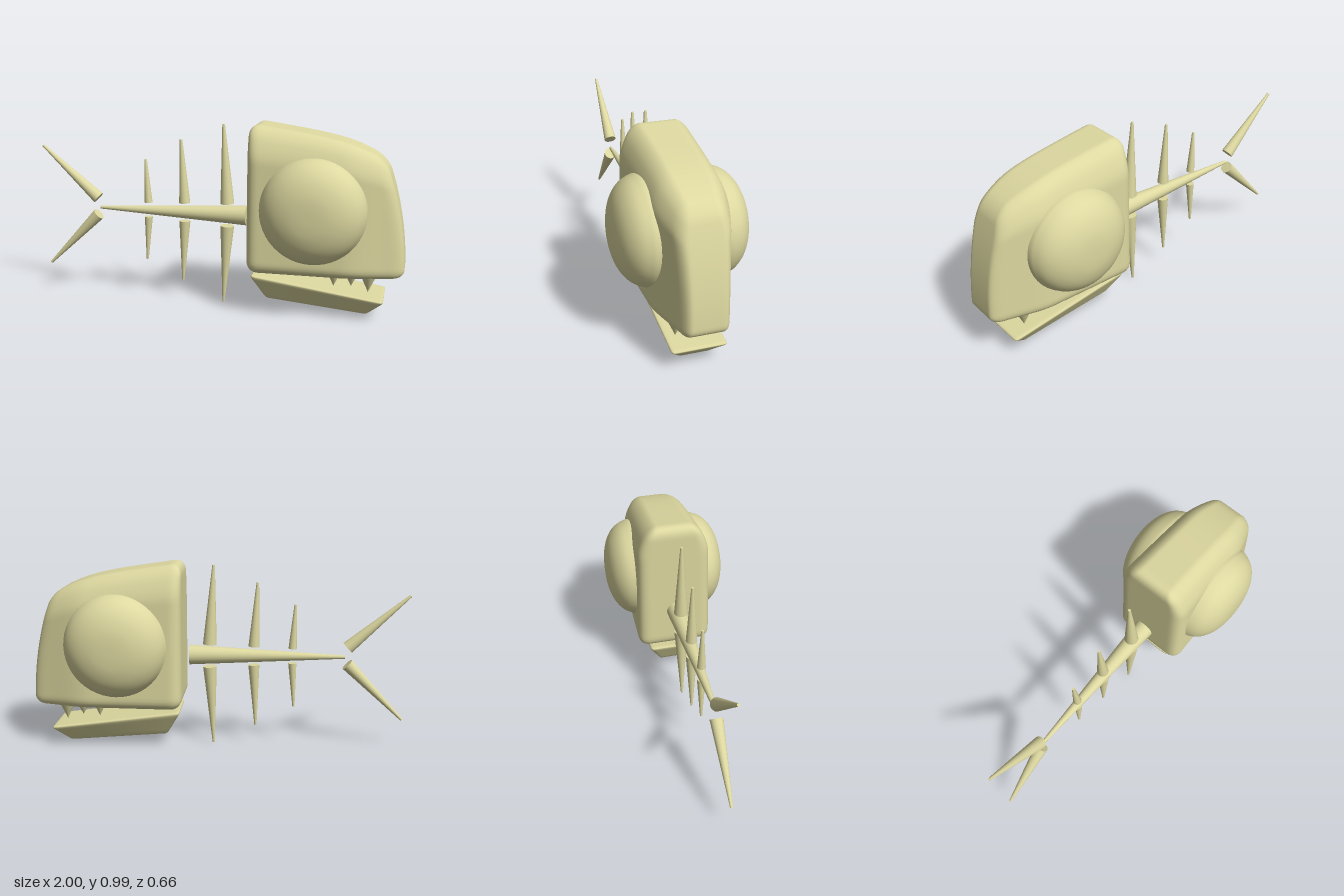
import * as THREE from 'three';
import { mergeVertices } from 'three/addons/utils/BufferGeometryUtils.js';

const bone = new THREE.MeshStandardMaterial({ color: 0xddd8a0 });

function add(group, name, geometry) {
  const mesh = new THREE.Mesh(geometry, bone);
  mesh.name = name;
  group.add(mesh);
  return mesh;
}

// Rounded box reshaped by a rule: warp(u, v, s) takes u, v in 0..1 and s in -1..1
function warpedBlock(size, radius, segments, warp) {
  let geo = new THREE.BoxGeometry(size.x, size.y, size.z, ...segments);
  geo.deleteAttribute('uv');
  geo.deleteAttribute('normal');
  geo = mergeVertices(geo);
  const inner = size.clone().multiplyScalar(0.5).subScalar(radius);
  const low = inner.clone().negate();
  const pos = geo.attributes.position;
  const p = new THREE.Vector3(), q = new THREE.Vector3();
  for (let i = 0; i < pos.count; i++) {
    p.fromBufferAttribute(pos, i);
    q.copy(p).clamp(low, inner);
    p.sub(q).setLength(p.length() > 0 ? radius : 0).add(q);
    pos.setXYZ(i, ...warp(p.x / size.x + 0.5, p.y / size.y + 0.5, (2 * p.z) / size.z));
  }
  geo.computeVertexNormals();
  return geo;
}

// Tapered bone between two points in the middle plane
function taperedBone(group, name, base, tip, baseRadius, tipRadius) {
  const a = new THREE.Vector3(...base, 0), b = new THREE.Vector3(...tip, 0);
  const dir = b.clone().sub(a);
  const mesh = add(group, name, new THREE.CylinderGeometry(tipRadius, baseRadius, dir.length(), 24));
  mesh.position.copy(a).add(b).multiplyScalar(0.5);
  mesh.quaternion.setFromUnitVectors(new THREE.Vector3(0, 1, 0), dir.normalize());
}

export function createModel() {
  const model = new THREE.Group();
  model.name = 'fishSkeleton';

  // Skull: sloping brow, curved face, narrower towards the snout and crown
  add(model, 'skull', warpedBlock(new THREE.Vector3(0.8, 0.76, 0.41), 0.06, [40, 40, 24], (u, v, s) => {
    const x = 0.195 + u * (0.805 - 0.11 * v * v);
    const y = 0.23 + v * (0.772 - 0.1 * u - 0.08 * u ** 5);
    const snout = THREE.MathUtils.smoothstep(x, 0.68, 1.04);
    const crown = THREE.MathUtils.clamp((v - 0.76) / 0.24, 0, 1);
    const half = (0.207 - 0.03 * (x - 0.2)) * (1 - 0.42 * snout) * (1 - 0.36 * crown ** 1.7) * (1 - 0.06 * v);
    return [x, y, s * half];
  }));

  // Bulging eyes on both sides
  const eyeProfile = [[0.272, 0.08], [0.274, 0.17], [0.266, 0.205], [0.247, 0.243], [0.215, 0.276],
    [0.17, 0.303], [0.11, 0.322], [0.05, 0.329], [0, 0.33]].map(([r, h]) => new THREE.Vector2(r, h));
  const eyeCurve = new THREE.SplineCurve(eyeProfile).getPoints(28);
  eyeCurve[28].x = 0;
  for (const side of [1, -1]) {
    const eye = add(model, side > 0 ? 'leftSideEye' : 'rightSideEye', new THREE.LatheGeometry(eyeCurve, 48));
    eye.rotation.x = (side * Math.PI) / 2;
    eye.position.set(0.535, 0.575, 0);
  }

  // Teeth in mirrored rows: x, tip height, base radius
  for (const [x, tip, radius] of [[0.645, 0.172, 0.034], [0.735, 0.178, 0.034], [0.822, 0.153, 0.042]]) {
    for (const side of [1, -1]) {
      const top = 0.245;
      const tooth = add(model, 'tooth', new THREE.ConeGeometry(radius, top - tip, 20));
      tooth.rotation.x = Math.PI;
      tooth.position.set(x, (top + tip) / 2, side * 0.097);
    }
  }

  // Lower jaw: tilted tray shape, wider at the top
  const lerp = THREE.MathUtils.lerp;
  add(model, 'lowerJaw', warpedBlock(new THREE.Vector3(0.7, 0.14, 0.28), 0.018, [48, 12, 24], (u, v, s) => [
    lerp(lerp(0.285, 0.815, u), lerp(0.205, 0.91, u), v),
    lerp(lerp(0.066, 0.02, u), lerp(0.208, 0.112, u), v),
    s * lerp(0.07, 0.145, v),
  ]));

  // Spine
  taperedBone(model, 'spine', [0.165, 0.495], [-0.665, 0.495], 0.053, 0.009);

  // Ribs: base x, upper and lower base height, base radius, upper tip, lower tip
  const ribs = [
    [0.057, 0.555, 0.432, 0.037, [0.036, 0.98], [0.037, 0]],
    [-0.18, 0.546, 0.445, 0.03, [-0.197, 0.89], [-0.192, 0.105]],
    [-0.386, 0.537, 0.457, 0.022, [-0.398, 0.775], [-0.397, 0.215]],
  ];
  for (const [x, up, down, radius, upTip, downTip] of ribs) {
    taperedBone(model, 'upperRib', [x, up], upTip, radius, 0.007);
    taperedBone(model, 'lowerRib', [x, down], downTip, radius, 0.006);
  }

  // Tail bones
  taperedBone(model, 'upperTailBone', [-0.678, 0.547], [-0.995, 0.829], 0.034, 0.007);
  taperedBone(model, 'lowerTailBone', [-0.678, 0.455], [-0.978, 0.153], 0.034, 0.007);

  return model;
}
